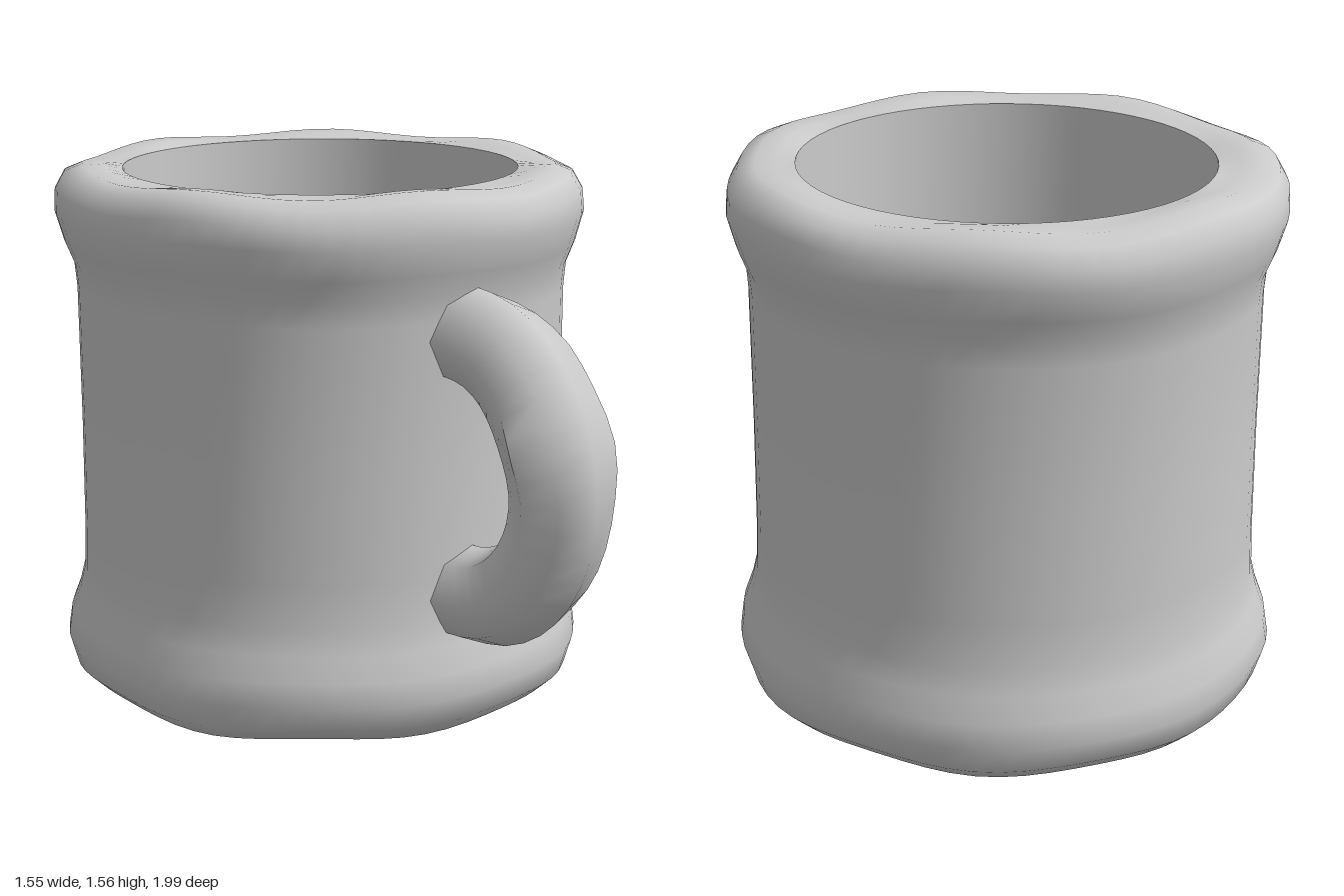
import * as THREE from 'three';
import { toCreasedNormals } from 'three/addons/utils/BufferGeometryUtils.js';

const BODY_Z = -0.22;

function mesh(name, geometry, crease) {
  const material = new THREE.MeshStandardMaterial({ color: 0xcccccc });
  const m = new THREE.Mesh(toCreasedNormals(geometry, crease), material);
  m.name = name;
  return m;
}

// Open-ended thick wall with a rolled lip at both ends
function createBody() {
  const inner = 0.577;
  const profile = [
    [inner, 1.54], [inner, 1.1], [inner, 0.45], [inner, 0.015],
    [0.64, 0.008], [0.7, 0.02], [0.75, 0.065], [0.773, 0.14], [0.763, 0.21],
    [0.737, 0.28], [0.72, 0.35], [0.716, 0.48], [0.714, 0.8], [0.716, 1.2],
    [0.722, 1.27], [0.748, 1.335], [0.772, 1.42], [0.768, 1.48], [0.74, 1.53],
    [0.69, 1.55], [0.63, 1.545], [inner, 1.54],
  ].map(([r, y]) => new THREE.Vector2(r, y)).reverse();
  const geometry = new THREE.LatheGeometry(profile, 64);

  // Gentle hand-made unevenness on the lips; the bore stays true
  const p = geometry.attributes.position;
  for (let i = 0; i < p.count; i++) {
    const x = p.getX(i), y = p.getY(i), z = p.getZ(i);
    const r = Math.hypot(x, z);
    if (r < inner + 0.01) continue;
    const a = Math.atan2(x, z);
    const lip = Math.min(1, Math.abs(y - 0.78) / 0.7) ** 4;
    const s = 1 + lip * 0.006 * Math.sin(5 * a + 4 * y);
    const dy = lip * 0.008 * Math.sin(7 * a + 2 * y);
    p.setXYZ(i, x * s, y + dy, z * s);
  }
  return mesh('body', profileFacesOutward(geometry), 0.9);
}

// Flip triangles if the outer wall faces inward
function profileFacesOutward(geometry) {
  const p = geometry.attributes.position, index = geometry.index.array;
  const v = (i) => new THREE.Vector3().fromBufferAttribute(p, i);
  let volume = 0;
  for (let i = 0; i < index.length; i += 3) {
    volume += v(index[i]).dot(v(index[i + 1]).cross(v(index[i + 2])));
  }
  if (volume < 0) {
    for (let i = 0; i < index.length; i += 3) {
      [index[i], index[i + 1]] = [index[i + 1], index[i]];
    }
  }
  return geometry;
}

// Half-ring handle with lumpy thickness, ends sunk into the wall
function createHandle() {
  const cy = 0.783, cz = 0.495, radius = 0.367;
  const points = [new THREE.Vector3(0, cy + radius, 0.43)];
  for (let i = 0; i <= 12; i++) {
    const a = Math.PI / 2 - (i / 12) * Math.PI;
    points.push(new THREE.Vector3(0, cy + radius * Math.sin(a), cz + radius * Math.cos(a)));
  }
  points.push(new THREE.Vector3(0, cy - radius, 0.43));
  const geometry = new THREE.TubeGeometry(new THREE.CatmullRomCurve3(points), 22, 0.139, 8);

  // Widen the grip just above the middle, and slightly near each end
  const bump = (y, centre, width) => Math.exp(-(((y - centre) / width) ** 2));
  const p = geometry.attributes.position;
  for (let i = 0; i < p.count; i++) {
    const y = p.getY(i);
    const w = 0.96 + 0.22 * bump(y, 0.92, 0.13) + 0.08 * bump(y, 1.16, 0.06) + 0.06 * bump(y, 0.39, 0.05);
    p.setX(i, p.getX(i) * w);
  }
  return mesh('handle', geometry, 0.9);
}

export function createModel() {
  const group = new THREE.Group();
  group.name = 'mug';
  const body = createBody();
  body.position.z = BODY_Z;
  group.add(body, createHandle());
  return group;
}
